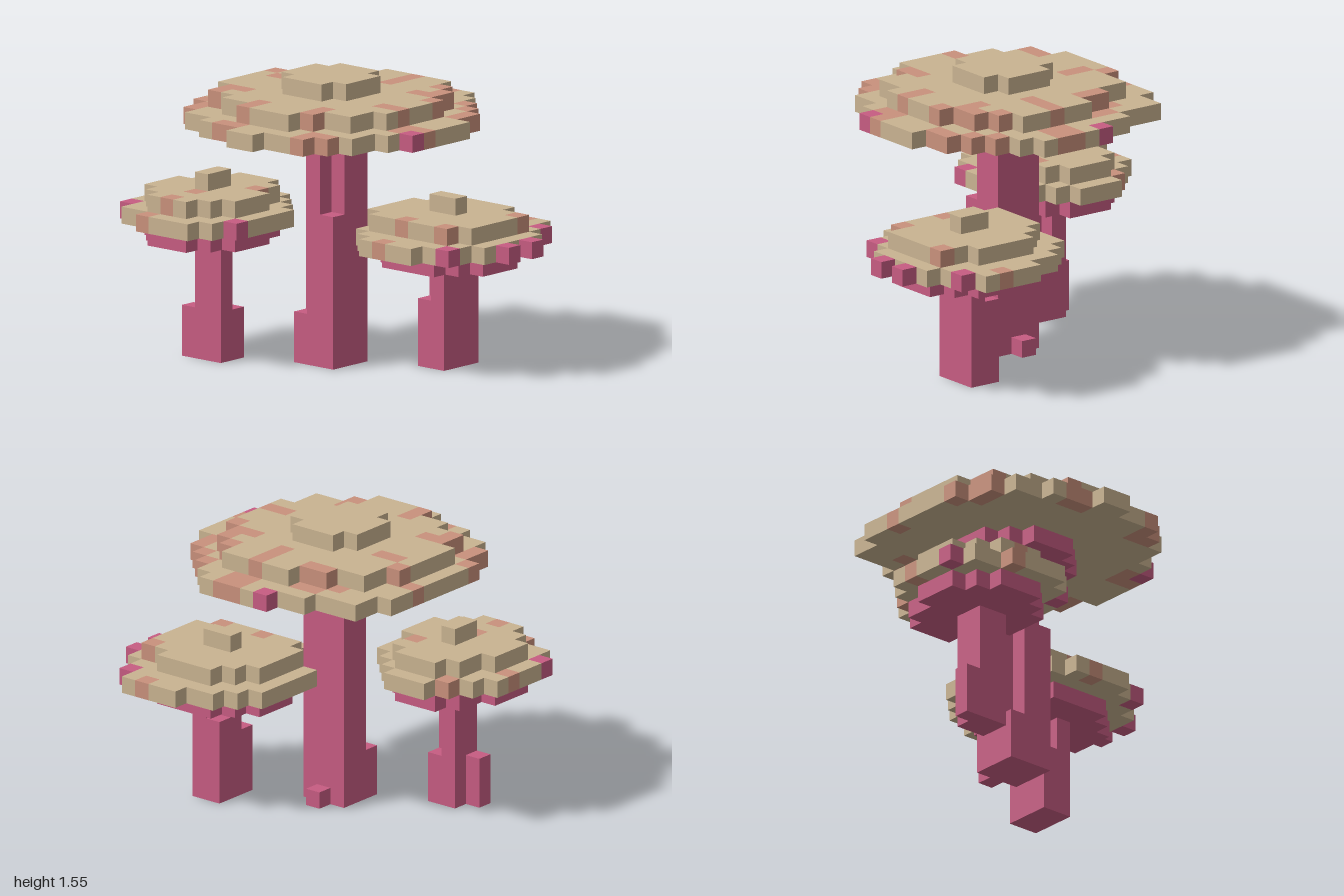
import * as THREE from 'three';

const U = 1 / 11; // edge of one block

const makeMat = (name, color) => {
  const m = new THREE.MeshStandardMaterial({ color });
  m.name = name;
  return m;
};

// Face directions with corners counter-clockwise as seen from outside
const FACES = [
  [[1, 0, 0], [[1, 0, 1], [1, 0, 0], [1, 1, 0], [1, 1, 1]]],
  [[-1, 0, 0], [[0, 0, 0], [0, 0, 1], [0, 1, 1], [0, 1, 0]]],
  [[0, 1, 0], [[0, 1, 1], [1, 1, 1], [1, 1, 0], [0, 1, 0]]],
  [[0, -1, 0], [[0, 0, 0], [1, 0, 0], [1, 0, 1], [0, 0, 1]]],
  [[0, 0, 1], [[0, 0, 1], [1, 0, 1], [1, 1, 1], [0, 1, 1]]],
  [[0, 0, -1], [[1, 0, 0], [0, 0, 0], [0, 1, 0], [1, 1, 0]]],
];

// A set of blocks; each cell stores the index of its material
class Blocks {
  constructor() { this.cells = new Map(); }
  box(x0, x1, y0, y1, z0, z1, c) {
    for (let x = x0; x < x1; x++) for (let y = y0; y < y1; y++) for (let z = z0; z < z1; z++) {
      const key = `${x},${y},${z}`;
      if (c === null) this.cells.delete(key); else this.cells.set(key, c);
    }
    return this;
  }
  // One flat layer: rows of [xStart, xEnd] going forward from z0
  layer(y, z0, rows, c) {
    rows.forEach(([a, b], i) => this.box(a, b, y, y + 1, z0 + i, z0 + i + 1, c));
    return this;
  }
  // Recolour existing blocks, given as [x, z]
  spots(y, c, list) {
    for (const [x, z] of list) {
      const key = `${x},${y},${z}`;
      if (this.cells.has(key)) this.cells.set(key, c);
    }
    return this;
  }
  mesh(name, mats) {
    const pos = [], nor = [], geo = new THREE.BufferGeometry();
    mats.forEach((_, m) => {
      const start = pos.length / 3;
      for (const [key, c] of this.cells) {
        if (c !== m) continue;
        const p = key.split(',').map(Number);
        for (const [n, q] of FACES) {
          if (this.cells.has(p.map((v, k) => v + n[k]).join(','))) continue;
          for (const i of [0, 1, 2, 0, 2, 3]) {
            pos.push(...p.map((v, k) => (v + q[i][k]) * U));
            nor.push(...n);
          }
        }
      }
      geo.addGroup(start, pos.length / 3 - start, m);
    });
    geo.setAttribute('position', new THREE.Float32BufferAttribute(pos, 3));
    geo.setAttribute('normal', new THREE.Float32BufferAttribute(nor, 3));
    const mesh = new THREE.Mesh(geo, mats);
    mesh.name = name;
    return mesh;
  }
}

export function createModel() {
  const mats = [makeMat('tan', 0xc9b391), makeMat('salmon', 0xc9917c), makeMat('magenta', 0xc75c82)];
  const TAN = 0, SALMON = 1, PINK = 2;
  const model = new THREE.Group();
  model.name = 'mushroomCluster';
  const mushroom = (name, stem, gills, cap) => {
    const g = new THREE.Group();
    g.name = name;
    g.add(stem.mesh('stem', mats), gills.mesh('gills', mats), cap.mesh('cap', mats));
    model.add(g);
  };

  // Tall middle mushroom
  mushroom('tallMushroom',
    new Blocks().box(-2, 1, 0, 13, -1, 2, PINK)
      .box(-2, -1, 3, 13, 1, 2, null)
      .box(0, 1, 9, 13, 1, 2, null)
      .box(-1, 0, 0, 1, -2, -1, PINK),
    new Blocks().layer(13, -3, [[-2, 1], [-3, 2], [-4, 3], [-4, 3], [-4, 3], [-3, 2], [-2, 1]], PINK),
    new Blocks()
      .layer(14, -8, [[-2, 3], [-4, 4], [-7, 5], [-7, 6], [-8, 7], [-8, 7], [-8, 8], [-8, 8], [-8, 8],
        [-8, 8], [-8, 8], [-8, 7], [-7, 6], [-7, 6], [-6, 5], [-4, 4], [-1, 1]], TAN)
      .layer(14, 7, [[-4, 4]], TAN)
      .layer(15, -6, [[-2, 3], [-4, 4], [-6, 5], [-6, 5], [-7, 6], [-7, 6], [-7, 6], [-7, 6], [-7, 6],
        [-6, 5], [-6, 5], [-4, 3], [-2, 2]], TAN)
      .layer(16, -2, [[-2, 1], [-3, 2], [-3, 2], [-3, 2], [-2, 1]], TAN)
      .spots(14, SALMON, [[0, -8], [1, -8], [0, -7], [1, -7], [-4, -6], [-3, -6], [-5, -5], [4, -6], [5, -5],
        [6, -4], [6, -3], [-8, -2], [6, 1], [7, 1], [6, 2], [-7, 5], [-8, 3], [3, 6], [4, 6], [3, 7],
        [-2, 7], [-3, 7], [-7, 4]])
      .spots(14, PINK, [[-2, -8], [7, 2]])
      .spots(15, SALMON, [[0, -6], [0, -5], [0, -4], [-4, -5], [-3, -5], [3, -5], [4, -4], [3, -3], [4, -3],
        [5, -2], [-7, -2], [-6, -1], [-5, -1], [4, 1], [5, 1], [-6, 3], [-5, 3], [-6, 4], [2, 4], [2, 5],
        [-2, 5], [-2, 6]]));

  // Front mushroom on the model's right
  const leftDisc = [[-8, -5], [-9, -4], [-9, -4], [-10, -3], [-10, -3], [-10, -3], [-9, -4], [-8, -5]];
  mushroom('frontMushroom',
    new Blocks().box(-7, -5, 0, 7, 3, 5, PINK)
      .box(-6, -5, 3, 7, 3, 4, null)
      .box(-8, -7, 0, 3, 4, 5, PINK),
    new Blocks().layer(7, 0, leftDisc, PINK),
    new Blocks()
      .layer(8, -1, [[-8, -5], [-9, -4], [-10, -3], [-11, -2], [-11, -2], [-11, -2], [-11, -2], [-11, -2],
        [-10, -3], [-8, -4]], TAN)
      .layer(9, 0, leftDisc, TAN)
      .box(-7, -6, 10, 11, 3, 5, TAN)
      .spots(8, SALMON, [[-9, 0], [-11, 3], [-8, 8]])
      .spots(8, PINK, [[-11, 6], [-3, 6]])
      .spots(9, SALMON, [[-7, 7], [-5, 2], [-7, 5]]));

  // Rear mushroom on the model's left
  mushroom('rearMushroom',
    new Blocks().box(4, 6, 0, 6, -5, -2, PINK)
      .box(4, 5, 4, 6, -3, -2, null)
      .box(4, 5, 5, 6, -5, -4, null),
    new Blocks().layer(6, -7, [[3, 7], [2, 8], [1, 9], [1, 9], [1, 9], [2, 8], [3, 7]], PINK),
    new Blocks()
      .layer(7, -9, [[4, 8], [2, 9], [1, 9], [0, 10], [0, 11], [0, 10], [0, 11], [0, 10], [1, 9], [2, 9], [3, 7]], TAN)
      .layer(8, -7, [[3, 7], [2, 9], [1, 9], [1, 9], [1, 9], [1, 9], [2, 8]], TAN)
      .box(4, 6, 9, 10, -4, -3, TAN)
      .spots(7, SALMON, [[6, -9], [4, 1]])
      .spots(7, PINK, [[8, -8], [10, -5], [10, -3], [8, 0]])
      .spots(8, SALMON, [[8, -6], [4, -1], [7, -1]]));

  return model;
}
